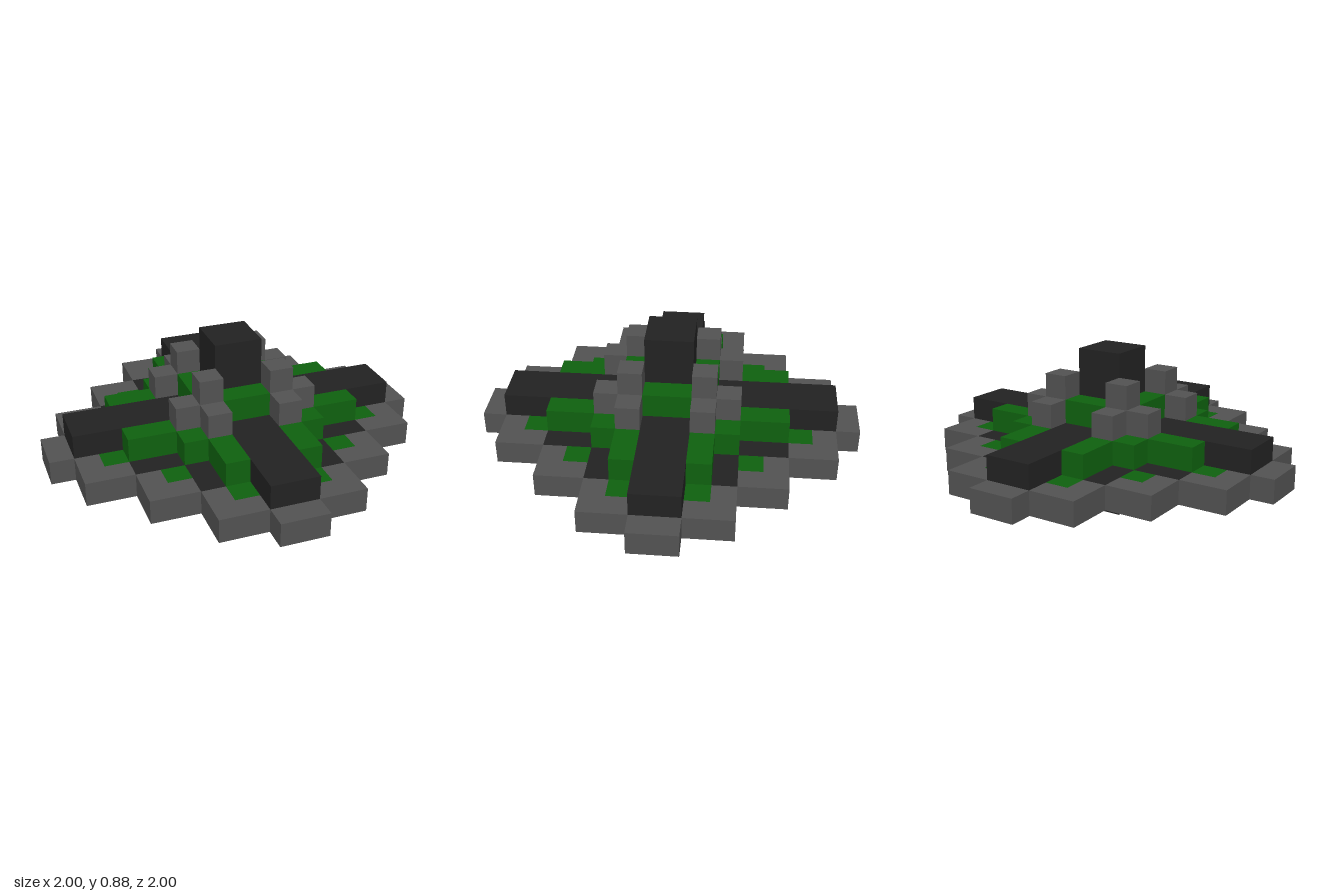
import * as THREE from 'three';

const U = 0.125; // size of one block

const mat = (name, color) => new THREE.MeshStandardMaterial({ name, color });

export function createModel() {
  const grey = mat('grey', 0x525252);
  const green = mat('green', 0x0f610f);
  const black = mat('black', 0x222222);
  const model = new THREE.Group();
  model.name = 'blockSaucer';

  // Box given by its x, y and z ranges, in blocks
  function block(parent, name, material, [x0, x1], [y0, y1], [z0, z1]) {
    const geometry = new THREE.BoxGeometry((x1 - x0) * U, (y1 - y0) * U, (z1 - z0) * U);
    const mesh = new THREE.Mesh(geometry, material);
    mesh.position.set((x0 + x1) / 2 * U, (y0 + y1) / 2 * U, (z0 + z1) / 2 * U);
    mesh.name = name;
    parent.add(mesh);
  }

  // The same box on all four sides; with twin, also reflected across the diagonal
  function ring(name, material, xs, ys, zs, twin = false) {
    const group = new THREE.Group();
    group.name = name + 'Ring';
    for (let i = 0; i < 4; i++) {
      const side = new THREE.Group();
      side.name = name + 'Side';
      side.rotation.y = i * Math.PI / 2;
      block(side, name, material, xs, ys, zs);
      if (twin) block(side, name, material, xs, ys, [-zs[1], -zs[0]]);
      group.add(side);
    }
    model.add(group);
  }

  // Underside hub
  block(model, 'bottomHub', black, [-1, 1], [0, 1], [-1, 1]);
  block(model, 'lowerCrossCentre', green, [-1, 1], [1, 2], [-1, 1]);
  ring('lowerCrossArm', green, [1, 2], [1, 2], [-1, 1]);

  // Disc, coloured right through
  const disc = [2, 3];
  block(model, 'discCentre', black, [-1, 1], disc, [-1, 1]);
  ring('discSpoke', black, [1, 7], disc, [-1, 1]);
  ring('discTip', grey, [7, 8], disc, [-1, 1]);
  ring('discInnerCorner', grey, [1, 2], disc, [1, 2]);
  ring('discInnerEdge', grey, [2, 3], disc, [1, 2], true);
  ring('discGreenStrip', green, [3, 6], disc, [1, 2], true);
  ring('discRimNear', grey, [6, 7], disc, [1, 2], true);
  ring('discGreenCorner', green, [2, 3], disc, [2, 3]);
  ring('discBlackPatch', black, [3, 5], disc, [2, 3], true);
  ring('discRimFar', grey, [5, 7], disc, [2, 3], true);
  ring('discGreenSpot', green, [3, 4], disc, [3, 4]);
  ring('discRimDiagonal', grey, [4, 5], disc, [3, 4], true);
  ring('discRimCorner', grey, [4, 5], disc, [4, 5]);

  // Raised spokes and the green blocks beside them
  const deck = [3, 4];
  ring('spoke', black, [1, 7], deck, [-1, 1]);
  ring('spokeFlank', green, [3, 5], deck, [1, 2], true);
  ring('cornerBlock', green, [2, 3], deck, [2, 3]);

  // Grey turrets in the four corners
  ring('tallTurret', grey, [1, 2], [3, 6], [1, 2]);
  ring('shortTurret', grey, [2, 3], [3, 5], [1, 2], true);

  // Central tower with its green collar
  ring('towerCollar', green, [1, 2], [4, 5], [-1, 1]);
  block(model, 'tower', black, [-1, 1], [3, 7], [-1, 1]);

  return model;
}
